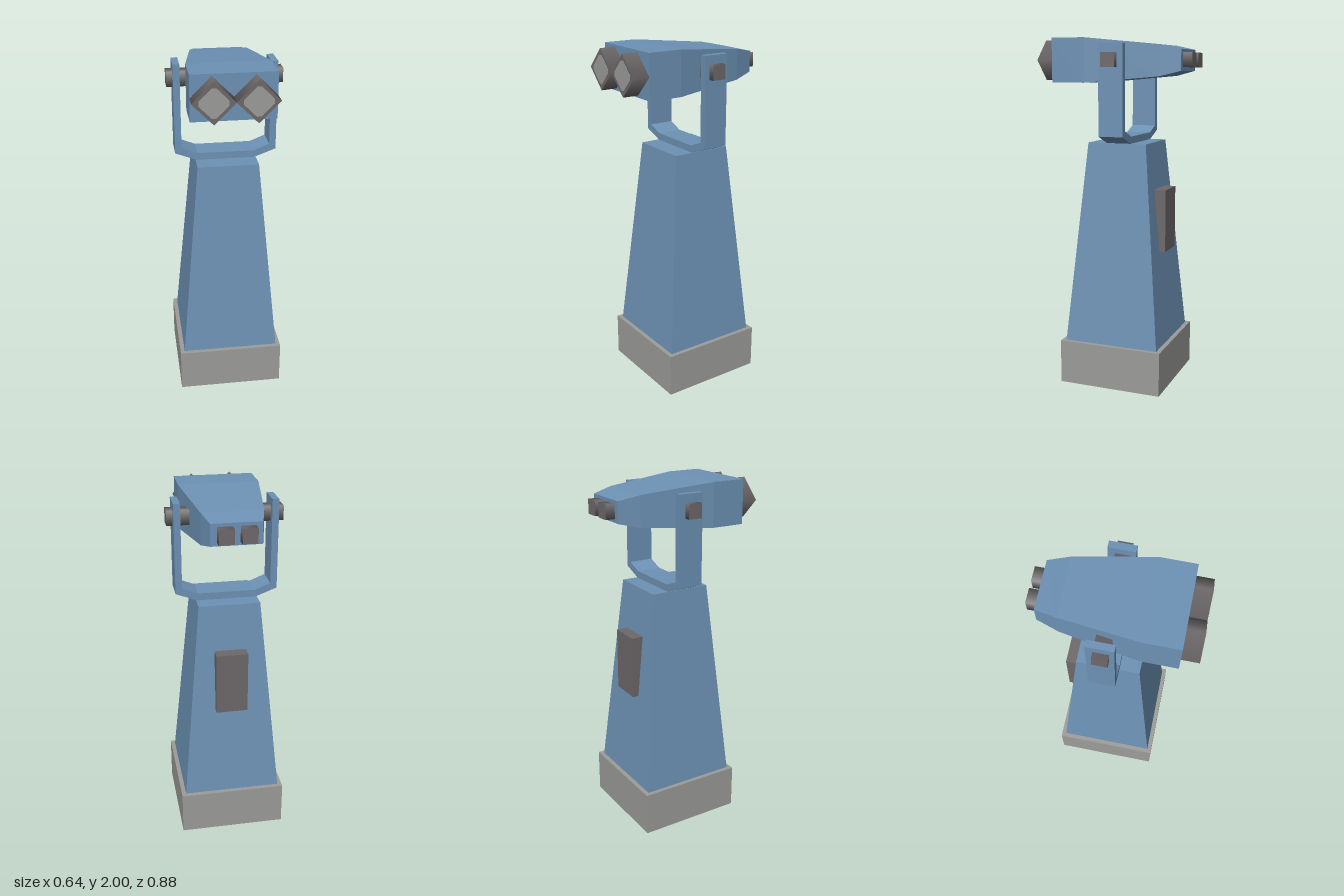
import * as THREE from 'three';

const paint = (name, color) => {
  const m = new THREE.MeshStandardMaterial({ color });
  m.name = name;
  return m;
};

// Closed hull through a row of four-cornered sections, counterclockwise seen from the last one.
function loft(sections) {
  const pos = [];
  const quad = (a, b, c, d) => [a, b, c, a, c, d].forEach((p) => pos.push(...p));
  for (let s = 0; s < sections.length - 1; s++) {
    const a = sections[s], b = sections[s + 1];
    for (let i = 0; i < 4; i++) {
      const j = (i + 1) % 4;
      quad(a[i], a[j], b[j], b[i]);
    }
  }
  quad(...[...sections[0]].reverse());
  quad(...sections[sections.length - 1]);
  const g = new THREE.BufferGeometry();
  g.setAttribute('position', new THREE.Float32BufferAttribute(pos, 3));
  g.computeVertexNormals();
  return g;
}

// Rectangle at height y, and rectangle at depth z.
const level = (y, x, z0, z1) => [[-x, y, z1], [x, y, z1], [x, y, z0], [-x, y, z0]];
const slice = (z, x, y0, y1) => [[-x, y0, z], [x, y0, z], [x, y1, z], [-x, y1, z]];

// Four-sided tube along z; turn = 0 stands on a corner, 45 degrees lies flat.
const tube = (r, length, turn) =>
  new THREE.CylinderGeometry(r, r, length, 4).rotateY(turn).rotateX(Math.PI / 2);

export function createModel() {
  const group = new THREE.Group();
  const blue = paint('blue paint', 0x6d92b5);
  const grey = paint('pale grey', 0x9c9d9a);
  const dark = paint('dark metal', 0x6e696b);
  const add = (name, geometry, material, x = 0, y = 0, z = 0) => {
    const mesh = new THREE.Mesh(geometry, material);
    mesh.name = name;
    mesh.position.set(x, y, z);
    group.add(mesh);
    return mesh;
  };
  const axisY = 1.877;

  // Plinth and tapered column
  add('base', new THREE.BoxGeometry(0.61, 0.255, 0.61), grey, 0, 0.1275, -0.028);
  add('column', loft([level(0.255, 0.28, -0.307, 0.252), level(1.415, 0.172, -0.2, 0.148)]), blue);

  // Coin box on the back, its inner side sunk into the slope
  add('coinBox', new THREE.BoxGeometry(0.18, 0.36, 0.09), dark, 0, 0.97, -0.247);

  // U-shaped yoke
  const half = [[0.165, 1.415], [0.285, 1.46], [0.285, 1.965], [0.248, 1.965], [0.248, 1.49], [0.16, 1.455]];
  const outline = [...half, ...half.map(([x, y]) => [-x, y]).reverse()];
  const yokeShape = new THREE.Shape(outline.map(([x, y]) => new THREE.Vector2(x, y)));
  add('yoke', new THREE.ExtrudeGeometry(yokeShape, { depth: 0.144, bevelEnabled: false }), blue, 0, 0, -0.107);

  // Tilt axle through both arms
  const square = 0.04 * Math.SQRT2;
  add('axle', tube(square, 0.64, Math.PI / 4).rotateY(Math.PI / 2), dark, 0, axisY, -0.03);

  // Viewer housing, narrowing towards the eyepieces
  add('housing', loft([
    slice(-0.387, 0.135, 1.817, 1.935),
    slice(-0.27, 0.165, 1.788, 1.96),
    slice(0.15, 0.226, 1.752, 2),
    slice(0.345, 0.226, 1.752, 2),
  ]), blue);

  // Lens plate: a diamond with clipped corners
  const d = 0.077, c = 0.012;
  const lensShape = new THREE.Shape(
    [[d, -c], [d, c], [c, d], [-c, d], [-d, c], [-d, -c], [-c, -d], [c, -d]].map(([x, y]) => new THREE.Vector2(x, y)),
  );
  const lens = new THREE.ExtrudeGeometry(lensShape, { depth: 0.003, bevelEnabled: false });

  // Paired lens barrels and eyepieces
  for (const side of [-1, 1]) {
    const label = side > 0 ? 'left' : 'right';
    add(label + 'Barrel', tube(0.113, 0.107, 0), dark, side * 0.113, axisY, 0.3835);
    add(label + 'Lens', lens, grey, side * 0.113, axisY, 0.436);
    add(label + 'Eyepiece', tube(square, 0.07, Math.PI / 4), dark, side * 0.06, axisY, -0.405);
  }
  return group;
}
